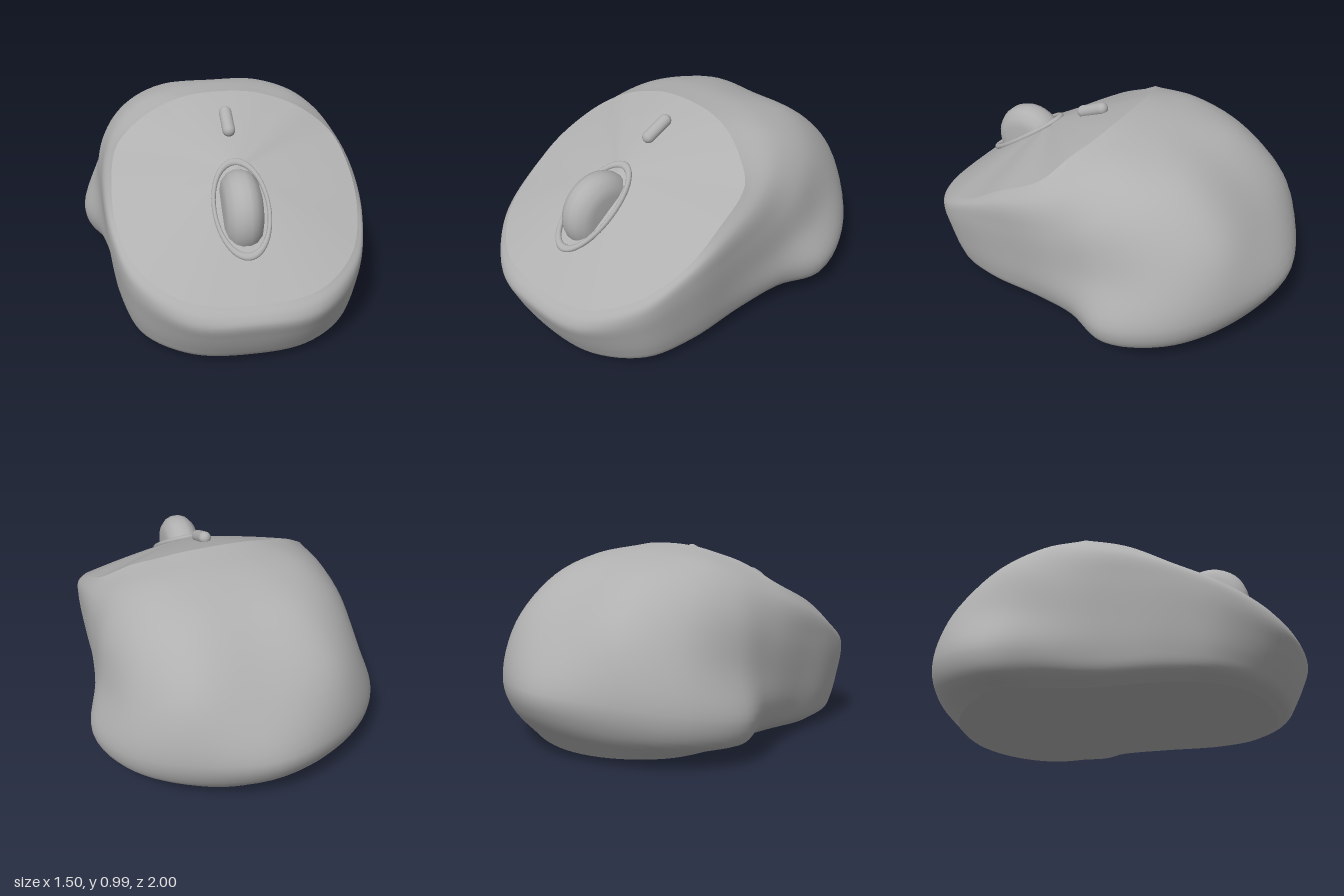
import * as THREE from 'three';

// Ribs of the left half, each listed from the panel rim down to the base edge (x, y, z).
const frontRibs = [
  [0, .36, .95, 0, .32, .985, 0, .28, 1, 0, .2, .975, 0, .1, .93, 0, .04, .89, 0, .005, .83],
  [.3, .38, .91, .3, .33, .945, .3, .28, .955, .29, .2, .93, .28, .1, .885, .27, .04, .85, .25, .005, .79],
  [.5, .46, .75, .525, .42, .765, .53, .36, .765, .52, .25, .745, .505, .12, .71, .48, .05, .69, .43, .01, .64],
  [.585, .57, .53, .61, .54, .535, .617, .46, .53, .605, .3, .51, .585, .15, .48, .56, .07, .46, .5, .02, .43],
  [.595, .7, .32, .635, .64, .3, .64, .52, .26, .63, .35, .22, .615, .18, .17, .585, .09, .13, .51, .04, .11],
];
const rearRibs = [
  [.55, .81, .1, .615, .73, .04, .645, .58, -.02, .655, .4, -.07, .67, .22, -.1, .635, .12, -.12, .54, .06, -.13],
  [.42, .905, .01, .53, .84, -.15, .62, .69, -.25, .67, .45, -.32, .75, .23, -.36, .71, .11, -.35, .6, .075, -.34],
  [.3, .95, -.045, .4, .915, -.25, .5, .79, -.45, .58, .55, -.6, .645, .28, -.65, .61, .14, -.63, .5, .05, -.57],
  [.17, .98, -.075, .22, .945, -.33, .29, .85, -.58, .36, .62, -.8, .4, .33, -.87, .37, .18, -.84, .3, .04, -.74],
  [0, .99, -.085, 0, .955, -.34, 0, .85, -.6, 0, .63, -.835, 0, .35, -1, 0, .22, -.965, 0, .03, -.8],
];

const AROUND = 108, DOWN = 36;

// Closed smooth loop through half-ring points and their mirror images.
function mirroredLoop(half) {
  const other = half.slice(1, -1).reverse().map(p => new THREE.Vector3(-p.x, p.y, p.z));
  const curve = new THREE.CatmullRomCurve3([...half, ...other], true);
  return Array.from({ length: AROUND }, (_, i) => curve.getPoint(i / AROUND));
}

// Smooth skin over a stack of closed loops.
function skin(loops) {
  const geometry = new THREE.BufferGeometry().setFromPoints(loops.flat());
  const index = [];
  for (let v = 0; v < loops.length - 1; v++) {
    for (let u = 0; u < AROUND; u++) {
      const n = (u + 1) % AROUND;
      const a = v * AROUND + u, d = v * AROUND + n;
      const b = a + AROUND, c = d + AROUND;
      index.push(a, b, c, a, c, d);
    }
  }
  geometry.setIndex(index);
  geometry.computeVertexNormals();
  return geometry;
}

export function createModel() {
  const model = new THREE.Group();
  model.name = 'computerMouse';
  const grey = new THREE.MeshStandardMaterial({ color: 0xb0b0b0 });
  grey.name = 'grey';

  const add = (name, geometry) => {
    const mesh = new THREE.Mesh(geometry, grey);
    mesh.name = name;
    model.add(mesh);
    return mesh;
  };

  // Shell: loops lofted from the rim down to the base edge
  const ribs = [...frontRibs, ...rearRibs].map(values => {
    const points = [];
    for (let i = 0; i < values.length; i += 3) points.push(new THREE.Vector3(...values.slice(i, i + 3)));
    return new THREE.CatmullRomCurve3(points);
  });
  const loops = [];
  for (let v = 0; v <= DOWN; v++) loops.push(mirroredLoop(ribs.map(rib => rib.getPoint(v / DOWN))));
  add('shell', skin(loops));

  // Sloping button panel: rim drawn in to a raised centre under the wheel
  const centre = new THREE.Vector3(0, .775, .42);
  const panelLoops = [];
  for (let i = 0; i <= 10; i++) {
    const s = i / 10;
    panelLoops.push(loops[0].map(p => {
      const q = centre.clone().lerp(p, s);
      q.y += .04 * s * (1 - s);
      return q;
    }));
  }
  add('buttonPanel', skin(panelLoops));

  // Gently arched underside
  const base = loops[DOWN];
  add('underside', skin([base, base.map(p => new THREE.Vector3(0, p.y, p.z))]));

  // Scroll wheel: barrel turned about the x axis
  const half = [[.001, .095], [.11, .093], [.155, .08], [.188, .05], [.2, .02]];
  const profile = [
    ...half.map(([r, x]) => new THREE.Vector2(r, -x)),
    ...half.slice().reverse().map(([r, x]) => new THREE.Vector2(r, x)),
  ];
  const wheel = add('scrollWheel', new THREE.LatheGeometry(profile, 40));
  wheel.rotation.z = Math.PI / 2;
  wheel.position.set(0, .622, .552);

  // Low collar around the wheel
  const collar = add('wheelCollar', new THREE.TorusGeometry(.25, .02, 10, 56));
  collar.scale.set(.52, 1, .7);
  collar.rotation.x = .605 - Math.PI / 2;
  collar.position.set(0, .657, .58);

  // Small button behind the wheel
  const button = add('smallButton', new THREE.CapsuleGeometry(.032, .125, 8, 20));
  button.rotation.x = .41 - Math.PI / 2;
  button.position.set(0, .918, .15);

  return model;
}
